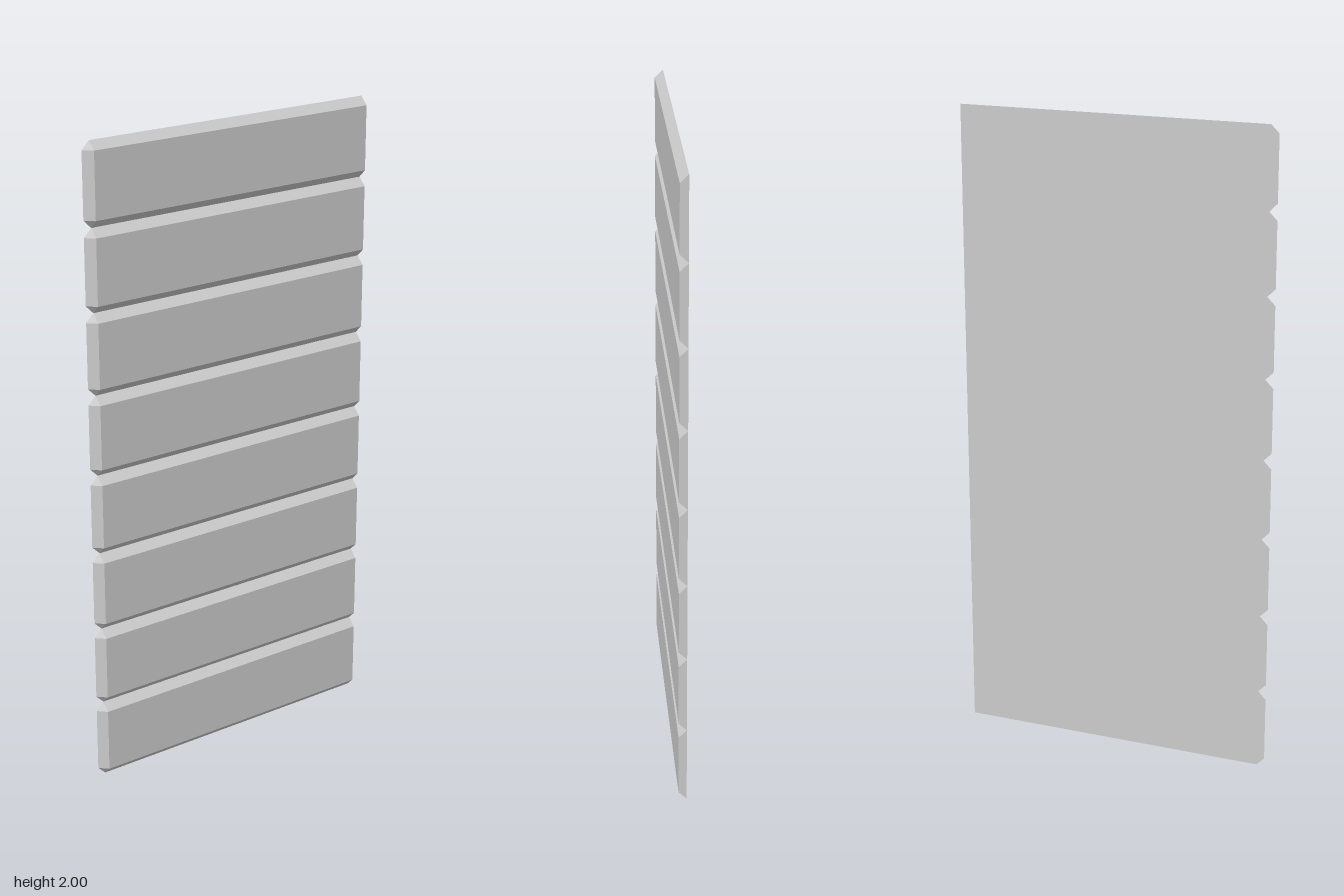
import * as THREE from 'three';
import { ConvexGeometry } from 'three/addons/geometries/ConvexGeometry.js';

const COUNT = 8;
const H = 0.25;        // board height
const HALF = 0.5;      // half the wall width
const BEVEL = 0.025;   // bevel width, equal to the thickness
const BACK = -0.0125;
const FRONT = 0.0125;

// One board: flat back, bevelled along the top, bottom and one end
function boardGeometry() {
  const inner = -HALF + BEVEL;
  const points = [];
  for (const s of [-1, 1]) {
    const outerY = s * H / 2;
    const innerY = s * (H / 2 - BEVEL);
    points.push(
      new THREE.Vector3(HALF, outerY, BACK),
      new THREE.Vector3(inner, outerY, BACK),
      new THREE.Vector3(-HALF, innerY, BACK),
      new THREE.Vector3(HALF, innerY, FRONT),
      new THREE.Vector3(inner, innerY, FRONT)
    );
  }
  return new ConvexGeometry(points);
}

export function createModel() {
  const group = new THREE.Group();
  group.name = 'plankWall';
  const material = new THREE.MeshStandardMaterial({ color: 0xcccccc, flatShading: true });
  const geometry = boardGeometry();

  // Boards stacked edge to edge, bevels forming the grooves
  for (let i = 0; i < COUNT; i++) {
    const board = new THREE.Mesh(geometry, material);
    board.name = `board${i + 1}`;
    board.position.y = H * (i + 0.5);
    group.add(board);
  }
  return group;
}
